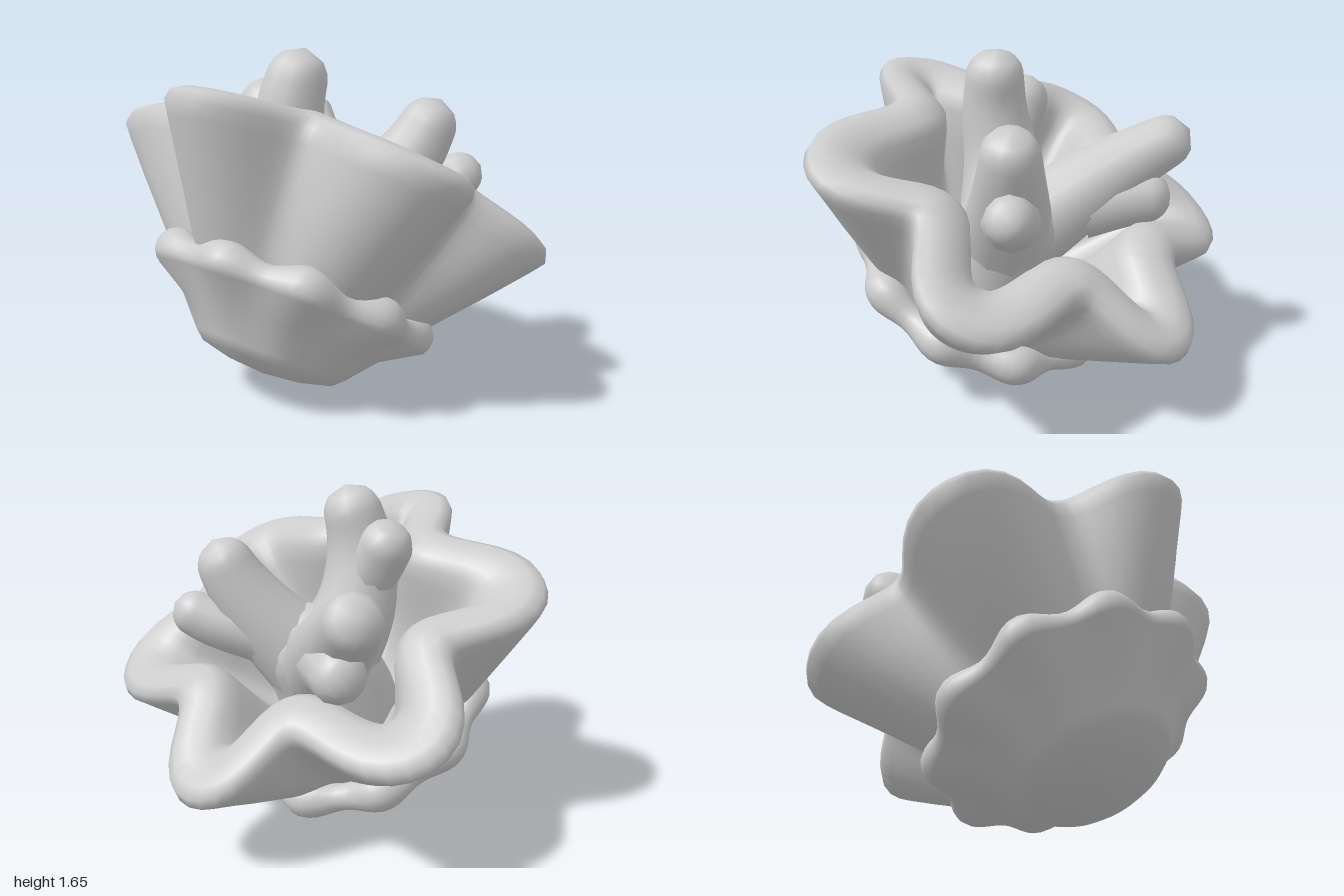
import * as THREE from 'three';
import { mergeVertices } from 'three/addons/utils/BufferGeometryUtils.js';

const material = new THREE.MeshStandardMaterial({ color: 0xcccccc, side: THREE.DoubleSide });

function addMesh(parent, name, geometry) {
  const mesh = new THREE.Mesh(geometry, material);
  mesh.name = name;
  parent.add(mesh);
}

// Skin a stack of closed rings; point(i, angle) returns [x, y, z]
function skin(rows, segments, point) {
  const positions = [], index = [];
  for (let i = 0; i < rows; i++) {
    for (let j = 0; j < segments; j++) {
      positions.push(...point(i, (j / segments) * Math.PI * 2));
      if (i === rows - 1) continue;
      const a = i * segments + j, b = i * segments + (j + 1) % segments;
      index.push(a, b, b + segments, a, b + segments, a + segments);
    }
  }
  const geometry = new THREE.BufferGeometry();
  geometry.setAttribute('position', new THREE.Float32BufferAttribute(positions, 3));
  geometry.setIndex(index);
  geometry.computeVertexNormals();
  return geometry;
}

// Point on a six-lobed curve whose front and back lobes are a little narrower
function lobedCurve(mean, depth, t) {
  const r = mean + depth * (Math.cos(6 * t) - 0.04 * Math.cos(18 * t));
  const angle = t - 0.03 * (Math.sin(2 * t) + Math.sin(4 * t));
  return [r * Math.sin(angle), r * Math.cos(angle)];
}

// Thick ruffled cup: rows of [height, mean radius, ruffle depth, wall offset, fold lift]
function ruffledCup() {
  const rows = [
    [-0.86, 0.2, 0, 0.06, 0], [-0.68, 0.41, 0.025, 0.06, 0], [-0.5, 0.57, 0.06, 0.06, 0.015],
    [-0.26, 0.74, 0.115, 0.06, 0.045], [-0.1, 0.845, 0.15, 0.065, 0.08], [-0.04, 0.875, 0.165, 0.07, 0.095],
    [0.01, 0.86, 0.165, 0.075, 0.1], [0.045, 0.83, 0.165, 0.055, 0.1], [0.06, 0.81, 0.16, 0, 0.1],
    [0.045, 0.785, 0.155, -0.065, 0.1], [0.01, 0.755, 0.14, -0.1, 0.095], [-0.06, 0.725, 0.12, -0.12, 0.085],
    [-0.2, 0.63, 0.08, -0.11, 0.05], [-0.4, 0.49, 0.04, -0.08, 0.02], [-0.54, 0.3, 0.02, -0.05, 0],
    [-0.57, 0.001, 0, 0, 0],
  ];
  return skin(rows.length, 108, (i, t) => {
    const [y, mean, depth, offset, lift] = rows[i];
    const [x, z] = lobedCurve(mean, depth, t);
    const [x2, z2] = lobedCurve(mean, depth, t + 1e-4);
    const k = offset / Math.hypot(x2 - x, z2 - z);
    const rise = lift * (1 - Math.cos(6 * t)) / 2;
    return [x - (z2 - z) * k, y + rise, z + (x2 - x) * k];
  });
}

// Shallow bowl whose wall swells into ten rounded knobs along its edge
function knobbyBowl() {
  const wall = [[0.001, -0.978], [0.18, -0.962], [0.33, -0.925], [0.38, -0.88], [0.5, -0.745]];
  const rimSteps = 10;
  return skin(wall.length + rimSteps + 1, 100, (i, t) => {
    const swell = Math.cos(10 * (t - Math.PI / 20));
    let r, y;
    if (i < wall.length) {
      [r, y] = wall[i];
      r += 0.015 * r * r * swell;
    } else {
      const a = -0.75 + ((i - wall.length) / rimSteps) * 4;
      const size = 0.083 + 0.017 * swell;
      r = 0.605 + 0.014 * swell + size * Math.cos(a);
      y = -0.58 + 0.008 * swell + size * Math.sin(a);
    }
    return [r * Math.sin(t), y, r * Math.cos(t)];
  });
}

// Tapered limb along a smooth path, rounded off at the far end
function limb(points, startRadius, endRadius) {
  const curve = new THREE.CatmullRomCurve3(points.map((p) => new THREE.Vector3(...p)));
  const length = curve.getLength(), steps = 24, sides = 12;
  const tube = new THREE.TubeGeometry(curve, steps, 1, sides);
  const position = tube.attributes.position, v = new THREE.Vector3();
  for (let i = 0; i <= steps; i++) {
    const u = i / steps, centre = curve.getPointAt(u);
    const toEnd = Math.min(1, ((1 - u) * length) / endRadius);
    const radius = THREE.MathUtils.lerp(startRadius, endRadius, u) * Math.sqrt(1 - (1 - toEnd) ** 2);
    for (let j = 0; j <= sides; j++) {
      const k = i * (sides + 1) + j;
      v.fromBufferAttribute(position, k).sub(centre).multiplyScalar(radius).add(centre);
      position.setXYZ(k, v.x, v.y, v.z);
    }
  }
  tube.deleteAttribute('uv');
  tube.deleteAttribute('normal');
  const geometry = mergeVertices(tube, 1e-4);
  geometry.computeVertexNormals();
  return geometry;
}

export function createModel() {
  const model = new THREE.Group();
  model.name = 'ruffledCoral';

  // Both cups share one axis that leans backwards
  const cups = new THREE.Group();
  cups.name = 'leaningCups';
  cups.position.set(0, 0.96, -0.015);
  cups.rotation.x = THREE.MathUtils.degToRad(-31);
  model.add(cups);
  addMesh(cups, 'ruffledCup', ruffledCup());
  addMesh(cups, 'lowerBowl', knobbyBowl());

  // Central trunk with three forked branches
  const limbs = [
    ['trunk', [[0.06, 0.38, 0.26], [0.06, 0.62, 0.14], [0.08, 0.85, 0], [0.1, 1.05, -0.1]], 0.34, 0.22],
    ['frontBranch', [[0.06, 0.7, 0.08], [-0.05, 1.05, 0.2], [-0.04, 1.35, 0.24], [0.01, 1.65, 0.18]], 0.25, 0.13],
    ['frontBranchFork', [[-0.05, 1.12, 0.22], [-0.17, 1.3, 0.22], [-0.28, 1.48, 0.2]], 0.15, 0.13],
    ['leftBranch', [[0.08, 0.72, 0.06], [0.26, 0.99, -0.13], [0.36, 1.18, -0.23], [0.44, 1.4, -0.31]], 0.25, 0.12],
    ['leftBranchFork', [[0.28, 0.92, -0.16], [0.45, 0.99, -0.32], [0.6, 1.08, -0.43]], 0.15, 0.105],
    ['rightBranch', [[0.06, 0.72, 0.06], [-0.18, 0.93, -0.15], [-0.4, 1.1, -0.33], [-0.62, 1.26, -0.54]], 0.25, 0.12],
    ['rightBranchFork', [[-0.2, 0.88, -0.2], [-0.36, 0.92, -0.36], [-0.52, 0.94, -0.51]], 0.16, 0.12],
  ];
  for (const [name, path, start, end] of limbs) addMesh(model, name, limb(path, start, end));

  return model;
}
